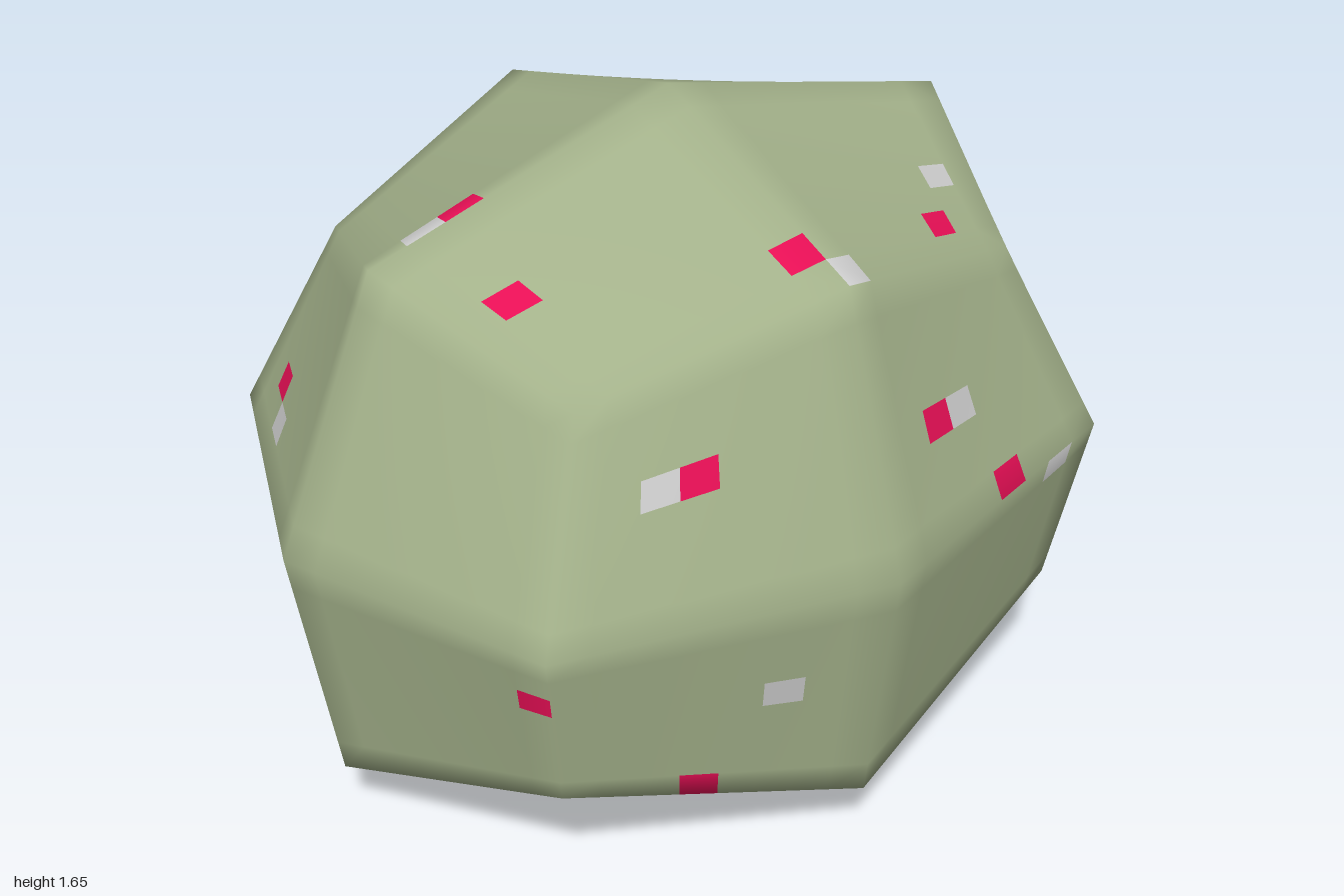
import * as THREE from 'three';
import { mergeVertices } from 'three/addons/utils/BufferGeometryUtils.js';

const HALF = [0.825, 0.825, 1]; // half width, height and depth
const N = 8; // cells per half side

// Coloured tiles per face, as cells counted from the face centre:
// x/y faces and so on use the two remaining axes in x, y, z order.
const TILES = {
  red: {
    '+z': [[-6, 2], [7, -3]],
    '-z': [[4, 1], [-1, 5], [1, -7]],
    '+x': [[4, 4], [3, -3], [0, -5], [-8, 4]],
    '-x': [[6, 3], [-6, 5]],
    '+y': [[6, -6], [-4, -4], [-1, 5], [3, 6], [6, 0]],
  },
  white: {
    '+z': [[-5, 1]],
    '-z': [[-3, 5]],
    '+x': [[4, 5], [3, -4], [-1, -7], [-4, 2]],
    '-x': [[5, 3], [-5, 5], [3, -7]],
    '+y': [[4, -7], [-5, -4], [-1, 6], [7, -1]],
  },
};
const COLORS = { green: 0xa3b18a, red: 0xe60f55, white: 0xf2f2f2 };

// Control point for a face centre, edge middle or corner of the cube
function controlPoint(bits, lower) {
  const count = bits[0] + bits[1] + bits[2];
  const reach = [0, 1, 0.75, 0.57][count];
  const flare = lower && bits[1] ? 1.2 : 1;
  const height = count === 3 ? (lower ? 0.51 : 0.55) : reach;
  return [bits[0] * reach * flare, bits[1] * height, bits[2] * reach * flare];
}

// Blend the control points of one octant over the cube surface
function shape(p) {
  const out = [0, 0, 0];
  for (let n = 1; n < 8; n++) {
    const bits = [n & 1, (n >> 1) & 1, (n >> 2) & 1];
    const weight = bits.reduce((w, b, k) => w * (b ? Math.abs(p[k]) : 1 - Math.abs(p[k])), 1);
    controlPoint(bits, p[1] < 0).forEach((c, k) => { out[k] += weight * c * Math.sign(p[k]) * HALF[k]; });
  }
  out[1] += HALF[1];
  return out;
}

// Name the colour of the cell around a point on the cube
function cellColor(c) {
  const axis = c.findIndex((v) => Math.abs(v) > 0.9999);
  const face = (c[axis] > 0 ? '+' : '-') + 'xyz'[axis];
  const [i, j] = c.filter((_, k) => k !== axis).map((v) => Math.floor(v * N));
  for (const name of Object.keys(TILES)) {
    if ((TILES[name][face] || []).some((t) => t[0] === i && t[1] === j)) return name;
  }
  return 'green';
}

export function createModel() {
  const group = new THREE.Group();
  group.name = 'facetedPebble';

  // Welded cube grid, so the ridges shade softly
  let cube = new THREE.BoxGeometry(2, 2, 2, 2 * N, 2 * N, 2 * N);
  cube.deleteAttribute('uv');
  cube.deleteAttribute('normal');
  cube = mergeVertices(cube, 1e-4);
  const pos = cube.attributes.position;
  const index = Array.from(cube.index.array);

  // Sort the triangles by tile colour
  const faces = { green: [], red: [], white: [] };
  for (let t = 0; t < index.length; t += 3) {
    const tri = index.slice(t, t + 3);
    const centre = [0, 1, 2].map((k) => tri.reduce((s, v) => s + pos.getComponent(v, k), 0) / 3);
    faces[cellColor(centre)].push(...tri);
  }

  // Push the cube into its rounded, faceted form
  for (let v = 0; v < pos.count; v++) {
    pos.setXYZ(v, ...shape([pos.getX(v), pos.getY(v), pos.getZ(v)]));
  }
  cube.computeVertexNormals();

  // Body and tiles share the same surface and normals
  const names = { green: 'body', red: 'redTiles', white: 'whiteTiles' };
  for (const key of Object.keys(faces)) {
    const geometry = new THREE.BufferGeometry();
    geometry.setAttribute('position', pos);
    geometry.setAttribute('normal', cube.attributes.normal);
    geometry.setIndex(faces[key]);
    const mesh = new THREE.Mesh(geometry, new THREE.MeshStandardMaterial({ color: COLORS[key] }));
    mesh.name = names[key];
    group.add(mesh);
  }
  return group;
}
